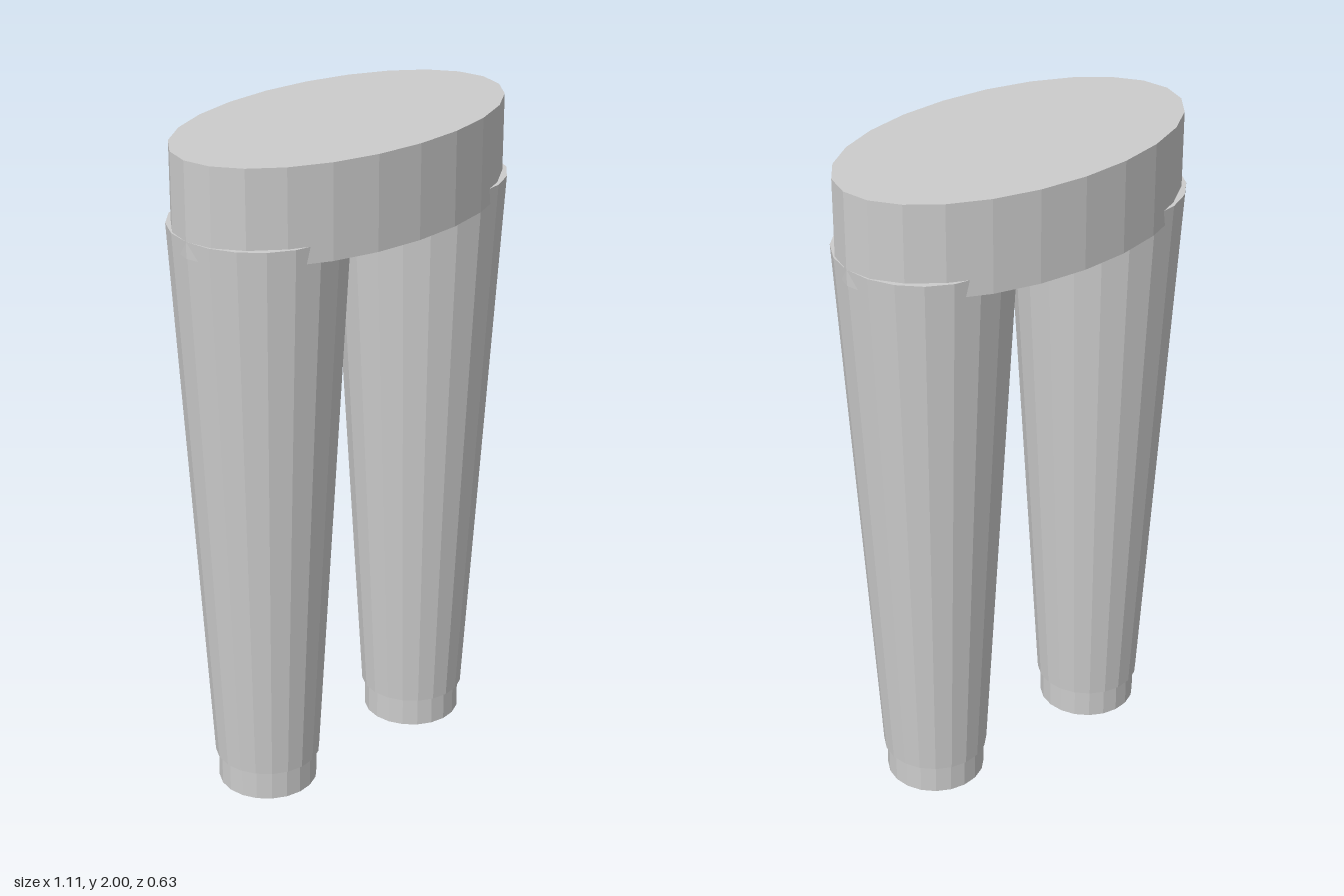
import * as THREE from 'three';

export function createModel() {
  const model = new THREE.Group();
  model.name = 'trousers';

  const grey = new THREE.MeshStandardMaterial({ color: 0xcccccc, flatShading: true });
  grey.name = 'light grey';

  // Closed tapered tube standing between two heights
  const tube = (name, topRadius, bottomRadius, bottom, top, sides) => {
    const geometry = new THREE.CylinderGeometry(topRadius, bottomRadius, top - bottom, sides);
    geometry.translate(0, (top + bottom) / 2, 0);
    const mesh = new THREE.Mesh(geometry, grey);
    mesh.name = name;
    return mesh;
  };

  // Oval waistband
  const waist = tube('waist', 1, 1, 1.727, 2, 24);
  waist.scale.set(0.553, 1, 0.315);
  model.add(waist);

  // Tapered legs, each ending in a narrower cuff
  for (const [side, x] of [['left', 0.3], ['right', -0.3]]) {
    const leg = new THREE.Group();
    leg.name = side + 'Leg';
    leg.position.x = x;
    leg.add(
      tube(side + 'Trouser', 0.253, 0.156, 0.093, 1.775, 20),
      tube(side + 'Cuff', 0.147, 0.147, 0, 0.12, 20)
    );
    model.add(leg);
  }

  return model;
}
